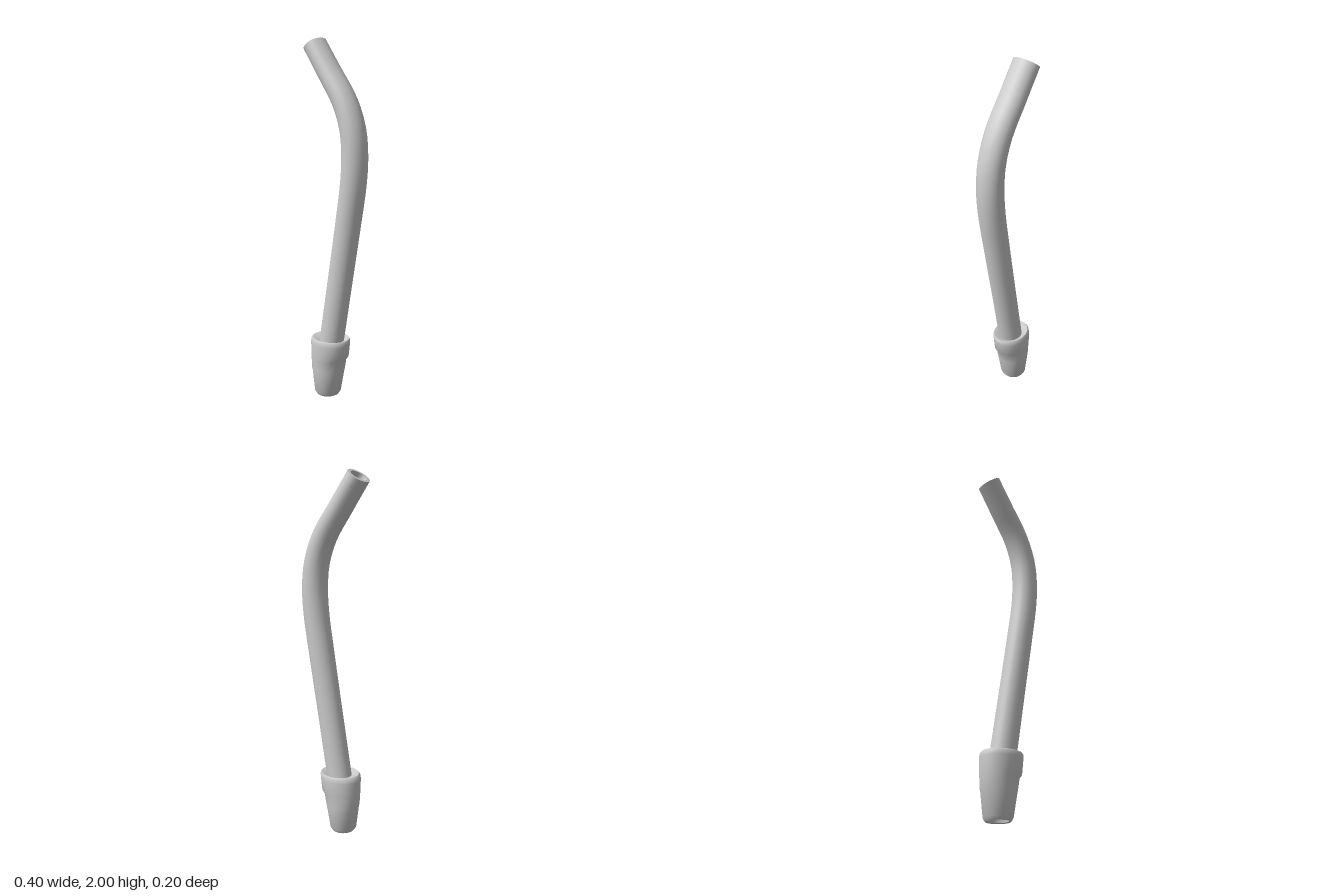
import * as THREE from 'three';
import { toCreasedNormals } from 'three/addons/utils/BufferGeometryUtils.js';

const SIDES = 24;

// Skin a series of elliptical rings: centre c, in-plane axis u, depth radius rz
function loft(rings, crease) {
  const pos = [], index = [];
  for (const { c, u, rz } of rings) {
    for (let j = 0; j < SIDES; j++) {
      const a = (j / SIDES) * Math.PI * 2;
      pos.push(c.x + u.x * Math.cos(a), c.y + u.y * Math.cos(a), -rz * Math.sin(a));
    }
  }
  for (let i = 0; i < rings.length - 1; i++) {
    for (let j = 0; j < SIDES; j++) {
      const k = (j + 1) % SIDES;
      const a = i * SIDES + j, b = i * SIDES + k;
      index.push(a, b, b + SIDES, a, b + SIDES, a + SIDES);
    }
  }
  const geo = new THREE.BufferGeometry();
  geo.setAttribute('position', new THREE.Float32BufferAttribute(pos, 3));
  geo.setIndex(index);
  return toCreasedNormals(geo, crease);
}

// Bent tube with a hollowed, obliquely pointing mouth
function bentTube() {
  const path = new THREE.CatmullRomCurve3([
    [-0.062, 0.18], [-0.033, 0.34], [0.022, 0.66], [0.08, 1.0], [0.118, 1.24], [0.126, 1.38],
    [0.112, 1.52], [0.06, 1.66], [-0.045, 1.815], [-0.15, 1.967],
  ].map(([x, y]) => new THREE.Vector3(x, y, 0)));

  const ring = (c, t, rx, rz) => ({ c, u: new THREE.Vector3(t.y, -t.x, 0).multiplyScalar(rx), rz });
  const rings = [];
  const steps = 40;
  for (let i = 0; i <= steps; i++) {
    const s = i / steps;
    const c = path.getPointAt(s);
    const rx = 0.071 - 0.011 * THREE.MathUtils.smoothstep(s, 0.6, 1);
    const rz = 0.067 + 0.007 * THREE.MathUtils.smoothstep(s, 0.2, 0.7);
    rings.push(ring(c, path.getTangentAt(s), rx, rz));
  }
  // Rim and inner bowl: [depth, scale]
  const end = path.getPointAt(1), dir = path.getTangentAt(1);
  for (const [d, k] of [[0, 0.72], [0.03, 0.69], [0.06, 0.58], [0.08, 0.35], [0.088, 0]]) {
    rings.push(ring(end.clone().addScaledVector(dir, -d), dir, 0.06 * k, 0.074 * k));
  }
  return loft(rings, 0.7);
}

// Tapered socket: [y, left x, right x, depth radius], from the lower bore out and up to the seat
function socket() {
  const profile = [
    [0.1, -0.065, -0.065, 0], [0.09, -0.1, -0.03, 0.035], [0.05, -0.112, -0.016, 0.048],
    [0.003, -0.118, -0.01, 0.054], [0, -0.127, -0.001, 0.065], [0.018, -0.138, 0.01, 0.077],
    [0.14, -0.153, 0.033, 0.09], [0.155, -0.157, 0.037, 0.092], [0.215, -0.161, 0.048, 0.095],
    [0.235, -0.162, 0.064, 0.099], [0.31, -0.165, 0.074, 0.1], [0.332, -0.162, 0.076, 0.099],
    [0.342, -0.153, 0.07, 0.093], [0.336, -0.125, 0.05, 0.078], [0.325, -0.1, 0.03, 0.06],
  ];
  return loft(profile.map(([y, l, r, rz]) => ({
    c: new THREE.Vector3((l + r) / 2, y, 0),
    u: new THREE.Vector3((r - l) / 2, 0, 0),
    rz,
  })), 0.7);
}

export function createModel() {
  const group = new THREE.Group();
  group.name = 'bentNozzle';
  const material = new THREE.MeshStandardMaterial({ color: 0xcccccc });
  const add = (name, geometry) => {
    const mesh = new THREE.Mesh(geometry, material);
    mesh.name = name;
    group.add(mesh);
  };
  add('bentTube', bentTube());
  add('socket', socket());
  return group;
}
